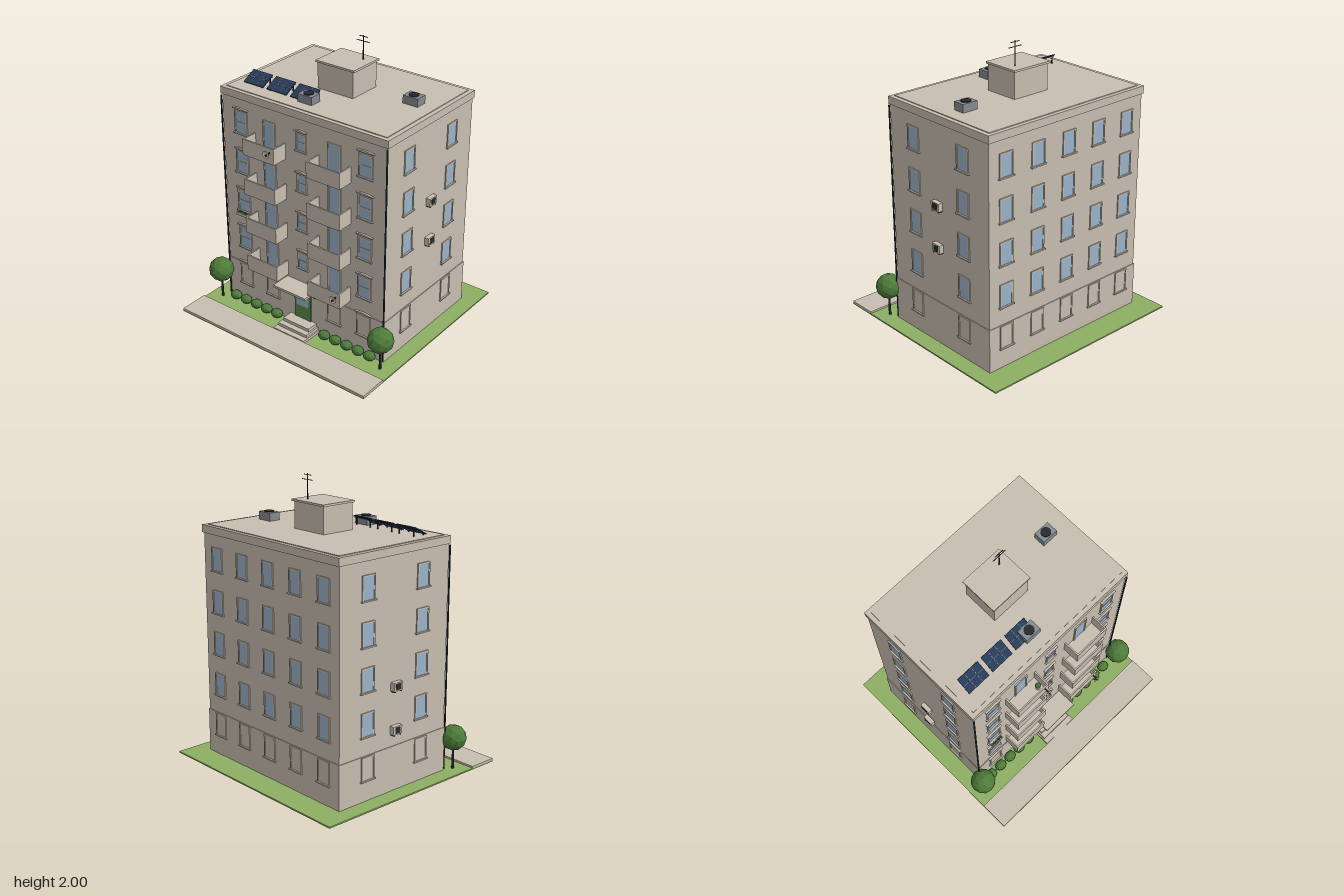
import * as THREE from 'three';

const mat = (name, color, extra = {}) => Object.assign(new THREE.MeshStandardMaterial({ color, ...extra }), { name });

export function createModel() {
  const root = new THREE.Group();
  root.name = 'apartmentBlock';
  const stone = mat('stone', 0xc8beb1);
  const glass = mat('glass', 0x9ab3c8);
  const leaf = mat('leaf', 0x4e7b3a, { flatShading: true });
  const grass = mat('grass', 0x8dae62);
  const doorGreen = mat('doorGreen', 0x5b8a49);
  const navy = mat('solarNavy', 0x263a58);
  const grey = mat('metalGrey', 0x868b90);
  const dark = mat('darkMetal', 0x262b2e);

  const group = (name, parent, x = 0, y = 0, z = 0, ry = 0) => {
    const g = new THREE.Group();
    g.name = name;
    g.position.set(x, y, z);
    g.rotation.y = ry;
    parent.add(g);
    return g;
  };
  const add = (name, geo, m, parent, x, y, z) => {
    const mesh = new THREE.Mesh(geo, m);
    mesh.name = name;
    mesh.position.set(x, y, z);
    parent.add(mesh);
    return mesh;
  };
  // box from its centre in x and z and its bottom in y
  const box = (name, m, parent, x, y, z, w, h, d) =>
    add(name, new THREE.BoxGeometry(w, h, d), m, parent, x, y + h / 2, z);
  const rod = (name, m, parent, x, y, z, r, h, n = 10) =>
    add(name, new THREE.CylinderGeometry(r, r, h, n), m, parent, x, y + h / 2, z);

  // ground
  box('lawn', grass, root, 0, 0, 0, 1.59, 0.01, 1.52);
  box('pavement', stone, root, 0, 0.01, 0.655, 1.59, 0.013, 0.21);

  // body
  box('walls', stone, root, 0, 0.01, -0.095, 1.346, 1.59, 0.95);
  box('plinth', stone, root, 0, 0.01, -0.095, 1.356, 0.31, 0.96);
  box('cornice', stone, root, 0, 1.58, -0.097, 1.362, 0.053, 0.968);
  box('roofDeck', stone, root, 0, 1.63, -0.097, 1.3, 0.008, 0.91);

  // windows: local z points out of the wall, y is the bottom of the pane
  const pediment = (w) => {
    const s = new THREE.Shape();
    const a = w / 2;
    s.moveTo(-a, 0);
    s.lineTo(a, 0);
    s.lineTo(a, 0.007);
    s.lineTo(a * 0.7, 0.008);
    s.quadraticCurveTo(0, 0.019, -a * 0.7, 0.008);
    s.lineTo(-a, 0.007);
    return new THREE.ExtrudeGeometry(s, { depth: 0.014, bevelEnabled: false, curveSegments: 6 });
  };
  const windowUnit = (parent, x, y, z, ry, o = {}) => {
    const { w = 0.09, h = 0.15, lintel = false, transom = false, sill = true, pane = glass } = o;
    const g = group('window', parent, x, y, z, ry);
    box('pane', pane, g, 0, 0, 0.0015, w, h, 0.005);
    for (const s of [-1, 1]) box('jamb', stone, g, s * (w / 2 + 0.005), 0, 0.004, 0.01, h, 0.008);
    box('head', stone, g, 0, h, 0.004, w + 0.02, 0.01, 0.008);
    if (transom) box('transom', stone, g, 0, h * 0.5, 0.005, w, 0.007, 0.004);
    if (sill) box('sill', stone, g, 0, -0.008, 0.007, w + 0.035, 0.009, 0.016);
    if (lintel) add('lintel', pediment(w + 0.04), stone, g, 0, h + 0.022, 0);
  };

  const floors = [0, 1, 2, 3].map((i) => 0.45 + i * 0.2945);
  for (const y of floors) {
    for (const s of [-1, 1]) {
      windowUnit(root, s * 0.512, y, 0.38, 0, { lintel: true, transom: true });
      windowUnit(root, s * 0.268, y - 0.055, 0.38, 0, { w: 0.085, h: 0.2, sill: false });
      for (const z of [0.147, -0.333]) windowUnit(root, s * 0.673, y, z, s * Math.PI / 2);
      // balcony with solid parapet
      const b = group('balcony', root, s * 0.266, y - 0.075, 0.38);
      box('balconyFloor', stone, b, 0, 0, 0.058, 0.266, 0.014, 0.116);
      box('frontParapet', stone, b, 0, 0, 0.114, 0.266, 0.114, 0.01);
      for (const e of [-1, 1]) box('sideParapet', stone, b, e * 0.128, 0, 0.056, 0.01, 0.114, 0.112);
    }
    windowUnit(root, 0, y + 0.025, 0.38, 0, { w: 0.062, h: 0.11, lintel: true, transom: true });
    for (let i = -2; i <= 2; i++) windowUnit(root, i * 0.267, y, -0.57, Math.PI);
  }
  // shuttered ground floor
  const shut = { pane: stone };
  for (const s of [-1, 1]) {
    for (const x of [0.268, 0.512]) windowUnit(root, s * x, 0.155, 0.385, 0, { ...shut, lintel: true });
    for (const z of [0.147, -0.333]) windowUnit(root, s * 0.678, 0.155, z, s * Math.PI / 2, shut);
  }
  for (let i = -2; i <= 2; i++) windowUnit(root, i * 0.267, 0.155, -0.575, Math.PI, shut);

  // entrance
  const entry = group('entrance', root, 0, 0, 0.385);
  box('door', doorGreen, entry, 0, 0.075, 0.003, 0.14, 0.24, 0.012);
  box('doorGlass', glass, entry, 0, 0.177, 0.009, 0.108, 0.12, 0.004);
  box('canopy', stone, entry, 0, 0.35, 0.075, 0.275, 0.017, 0.15);
  [[0.27, 0.02, 0.165], [0.25, 0.042, 0.125], [0.225, 0.065, 0.085]].forEach(([w, top, d]) =>
    box('step', stone, entry, 0, 0.01, d / 2, w, top, d));
  for (const s of [-1, 1]) {
    box('lamp', dark, entry, s * 0.113, 0.288, 0.01, 0.018, 0.028, 0.02);
    rod('downpipe', dark, root, s * 0.676, 0.02, 0.388, 0.006, 1.55);
  }

  // flower box under one window
  const planter = group('flowerBox', root, -0.512, 0.718, 0.407);
  box('trough', stone, planter, 0, 0, 0, 0.095, 0.02, 0.025);
  for (let i = -2; i <= 2; i++)
    add('flower', new THREE.IcosahedronGeometry(0.009, 1), i % 2 ? dark : leaf, planter, i * 0.019, 0.023, 0);

  // potted plant on the top left balcony
  rod('plantPot', stone, root, -0.175, 1.273, 0.447, 0.015, 0.035, 12);
  add('pottedPlant', new THREE.IcosahedronGeometry(0.02, 1), leaf, root, -0.175, 1.32, 0.447);

  // satellite dishes on parapets
  const dishProfile = [[0, 0], [0.012, 0.001], [0.021, 0.005], [0.028, 0.01]].map((p) => new THREE.Vector2(...p));
  const dishMat = mat('stone', 0xc8beb1, { side: THREE.DoubleSide });
  for (const [x, y] of [[-0.165, 1.34], [0.37, 0.455]]) {
    const d = group('satelliteDish', root, x, y, 0.526);
    add('dish', new THREE.LatheGeometry(dishProfile, 18), dishMat, d, 0, 0, 0).rotation.x = Math.PI / 2;
    box('dishArm', dark, d, 0, -0.004, -0.014, 0.008, 0.008, 0.03);
    box('feedArm', dark, d, 0, -0.012, 0.008, 0.004, 0.004, 0.018);
    box('receiver', dark, d, 0, -0.008, 0.016, 0.008, 0.01, 0.006);
  }

  // wall air conditioners
  for (const [s, y] of [[1, 1.025], [1, 0.73], [-1, 0.73], [-1, 0.435]]) {
    const a = group('wallAirConditioner', root, s * 0.673, y, -0.095, s * Math.PI / 2);
    box('case', stone, a, 0, -0.028, 0.02, 0.078, 0.058, 0.032);
    box('grille', dark, a, 0, -0.02, 0.036, 0.046, 0.042, 0.003);
    for (const e of [-1, 1]) box('bracket', dark, a, e * 0.028, -0.036, 0.018, 0.006, 0.008, 0.036);
  }

  // roof house with antenna
  box('roofHouse', stone, root, 0, 1.63, -0.097, 0.288, 0.192, 0.252);
  box('roofHouseCap', stone, root, 0, 1.82, -0.1, 0.312, 0.014, 0.272);
  const mast = group('antenna', root, 0.083, 1.83, -0.16);
  rod('mast', dark, mast, 0, 0, 0, 0.004, 0.17, 8);
  for (const [y, w] of [[0.16, 0.07], [0.128, 0.105]]) box('crossbar', dark, mast, 0, y, 0, w, 0.004, 0.004);

  // roof fan units
  for (const [x, z] of [[0.49, -0.155], [-0.053, 0.235]]) {
    const u = group('roofFanUnit', root, x, 1.636, z);
    box('case', grey, u, 0, 0, 0, 0.115, 0.058, 0.085);
    rod('fan', dark, u, 0, 0.057, 0, 0.034, 0.007, 20);
  }

  // solar panels, tilted to the front
  for (const x of [-0.502, -0.304, -0.104]) {
    const p = group('solarPanel', root, x, 1.672, 0.208);
    const t = group('tiltedPanel', p);
    t.rotation.x = 0.48;
    box('panel', navy, t, 0, -0.003, 0, 0.168, 0.007, 0.116);
    for (const e of [-1, 1]) box('divider', grey, t, e * 0.028, 0.0035, 0, 0.003, 0.002, 0.116);
    box('divider', grey, t, 0, 0.0035, 0, 0.168, 0.002, 0.002);
    box('rail', dark, t, 0, -0.009, -0.045, 0.168, 0.006, 0.006);
    for (const e of [-1, 1]) {
      box('backLeg', dark, p, e * 0.065, -0.036, -0.044, 0.007, 0.053, 0.007);
      box('frontLeg', dark, p, e * 0.065, -0.036, 0.044, 0.007, 0.012, 0.007);
    }
  }

  // trees and bushes
  for (const s of [-1, 1]) {
    const t = group('tree', root, s * 0.7, 0, 0.452);
    add('trunk', new THREE.CylinderGeometry(0.007, 0.009, 0.17, 8), dark, t, 0, 0.09, 0);
    add('crown', new THREE.IcosahedronGeometry(0.09, 1), leaf, t, 0, 0.235, 0);
    for (let i = 0; i < 5; i++)
      add('bush', new THREE.IcosahedronGeometry(0.045, 1), leaf, root, s * (0.21 + i * 0.0955), 0.047, 0.425)
        .scale.set(1, 0.72, 0.82);
  }
  return root;
}
